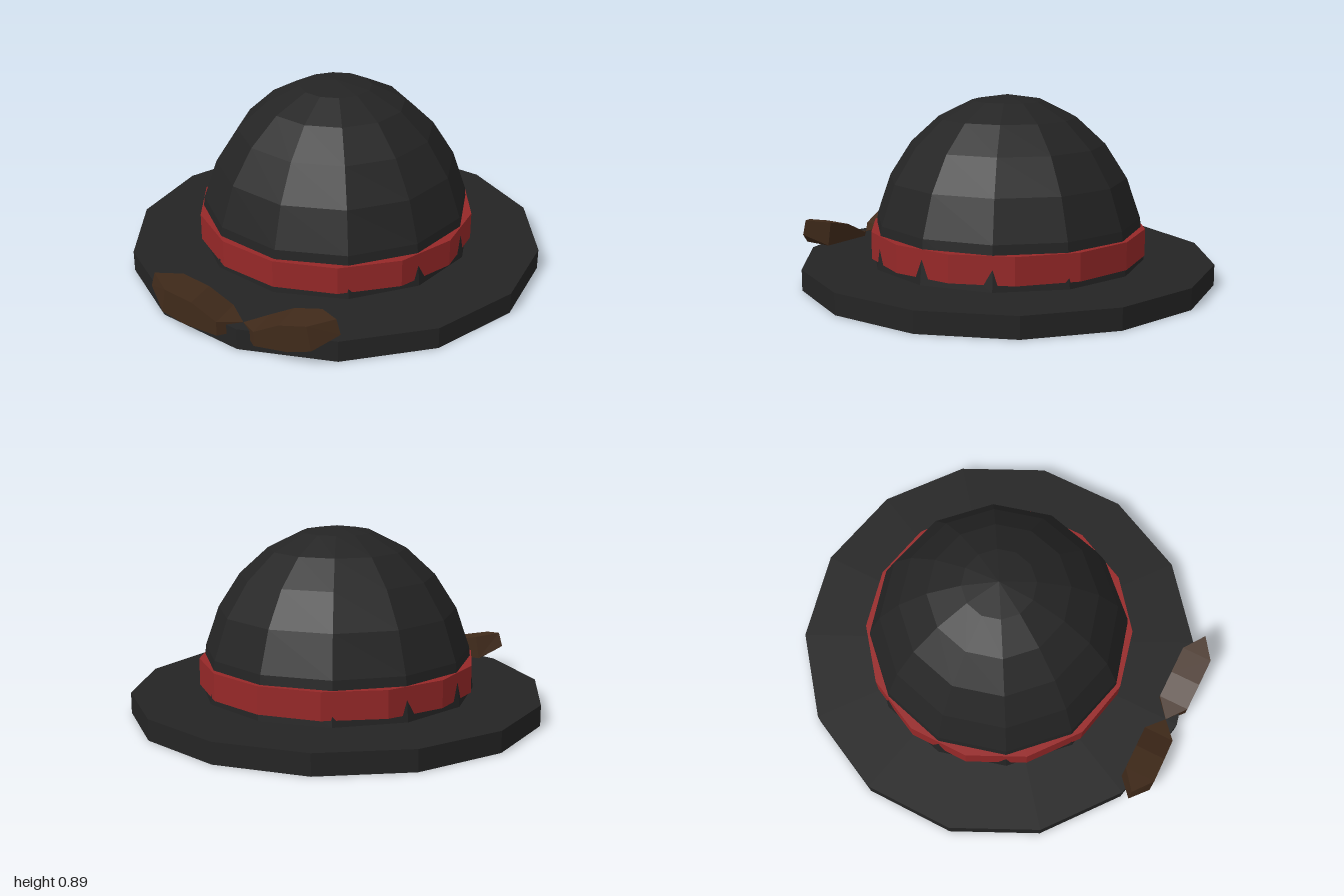
import * as THREE from 'three';

const paint = (color) => new THREE.MeshStandardMaterial({ color, flatShading: true });

// Half of the bow: cross-sections from outer tip to knot, side = 1 (left) or -1 (right)
function bowGeometry(side) {
  // [x top, y top, x bottom, y bottom, half width in z]
  const sections = [
    [0.44, 0.235, 0.46, 0.165, 0],
    [0.34, 0.215, 0.36, 0.1, 0.075],
    [0.21, 0.185, 0.25, 0.065, 0.075],
    [0.09, 0.12, 0.09, 0.05, 0.075],
    [0, 0.1, 0, 0.06, 0],
  ];
  const rings = sections.map(([xt, yt, xb, yb, w]) => [
    [side * xt, yt, w], [side * xt, yt, -w],
    [side * xb, yb, -w], [side * xb, yb, w],
  ]);
  const positions = [];
  const triangle = (a, b, c) => positions.push(...a, ...(side > 0 ? [...b, ...c] : [...c, ...b]));
  for (let i = 0; i < rings.length - 1; i++) {
    for (let k = 0; k < 4; k++) {
      const n = (k + 1) % 4;
      const flat = k % 2 === 0; // top and bottom faces
      const [a, b, c, d] = [rings[i][k], rings[i][n], rings[i + 1][n], rings[i + 1][k]];
      // Skip the triangle that collapses at a pointed end
      if (!(flat && i === 0)) triangle(a, b, c);
      else triangle(a, c, d);
      if (!(flat && (i === 0 || i === rings.length - 2))) triangle(a, c, d);
    }
  }
  const geometry = new THREE.BufferGeometry();
  geometry.setAttribute('position', new THREE.Float32BufferAttribute(positions, 3));
  geometry.computeVertexNormals();
  return geometry;
}

export function createModel() {
  const hat = new THREE.Group();
  hat.name = 'hat';
  const felt = paint(0x242424);
  const ribbon = paint(0x962828);
  const leather = paint(0x402a1a);

  const add = (name, geometry, material, y, z) => {
    const mesh = new THREE.Mesh(geometry, material);
    mesh.name = name;
    mesh.position.set(0, y, z);
    hat.add(mesh);
    return mesh;
  };

  // Flat fourteen-sided brim
  add('brim', new THREE.CylinderGeometry(0.993, 0.993, 0.1, 14), felt, 0.05, -0.007);

  // Domed crown, stretched upwards
  const dome = new THREE.SphereGeometry(0.66, 12, 6, 0, Math.PI * 2, 0, Math.PI / 2);
  dome.scale(1, 0.79 / 0.66, 1);
  add('crown', dome, felt, 0.1, -0.007);

  // Band around the crown
  add('band', new THREE.CylinderGeometry(0.664, 0.664, 0.13, 14), ribbon, 0.195, -0.007);

  // Bow at the front edge of the brim
  add('leftBow', bowGeometry(1), leather, 0, 0.925);
  add('rightBow', bowGeometry(-1), leather, 0, 0.925);

  return hat;
}
